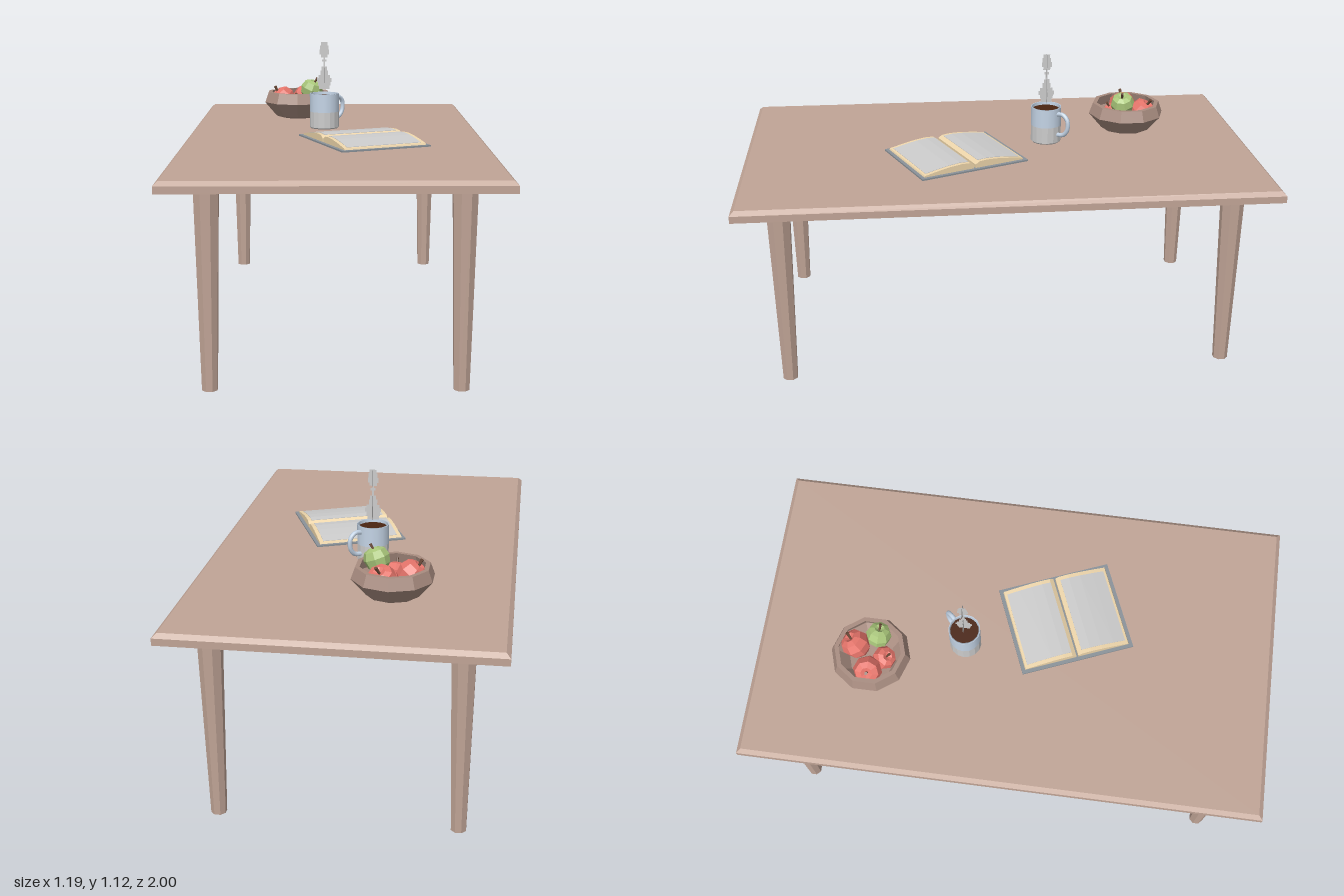
import * as THREE from 'three';

const V2 = (x, y) => new THREE.Vector2(x, y);
const TOP = 0.763; // table surface height

function mat(color, flat = true) {
  return new THREE.MeshStandardMaterial({ color, flatShading: flat, side: THREE.DoubleSide });
}

const WOOD = mat(0xc0a496), BOWL = mat(0xa88c80), RED = mat(0xe5746a), GREEN = mat(0xa9c67a);
const STEM = mat(0x6b4a38), BLUE = mat(0xc4d4e6, false), GREY = mat(0xcccccc), COFFEE = mat(0x4a2411);
const COVER = mat(0x8a9299), CREAM = mat(0xeed6ab);

function add(parent, name, geometry, material, x = 0, y = 0, z = 0) {
  const mesh = new THREE.Mesh(geometry, material);
  mesh.name = name;
  mesh.position.set(x, y, z);
  parent.add(mesh);
  return mesh;
}

const lathe = (pts, sides) => new THREE.LatheGeometry(pts.map(p => V2(p[0], p[1])), sides);

function makeTable() {
  const table = new THREE.Group();
  table.name = 'table';
  add(table, 'tabletop', new THREE.BoxGeometry(1.186, 0.026, 2), WOOD, 0, 0.735, 0);
  // bevelled upper edge: pull the top corners inwards
  const bevel = new THREE.BoxGeometry(1.186, 0.015, 2);
  const p = bevel.attributes.position;
  for (let i = 0; i < p.count; i++) {
    if (p.getY(i) > 0) {
      p.setX(i, p.getX(i) - Math.sign(p.getX(i)) * 0.016);
      p.setZ(i, p.getZ(i) - Math.sign(p.getZ(i)) * 0.016);
    }
  }
  add(table, 'bevelledEdge', bevel, WOOD, 0, 0.7555, 0);
  const leg = new THREE.CylinderGeometry(0.046, 0.029, 0.724, 8);
  leg.rotateY(Math.PI / 8);
  for (const x of [-0.436, 0.436]) for (const z of [-0.845, 0.845]) add(table, 'leg', leg, WOOD, x, 0.362, z);
  return table;
}

function makeApple(material, r, x, y, z, tiltX, tiltZ) {
  const apple = new THREE.Group();
  apple.name = 'apple';
  const body = [[0, -0.75], [0.45, -0.9], [0.85, -0.45], [1, 0.15], [0.8, 0.7], [0.4, 0.88], [0, 0.65]];
  add(apple, 'fruitBody', lathe(body.map(q => [q[0] * r, q[1] * r]), 8), material);
  const stem = add(apple, 'stem', new THREE.CylinderGeometry(r * 0.12, r * 0.08, r * 0.6, 5), STEM, r * 0.06, r * 0.95, 0);
  stem.rotation.z = -0.2;
  apple.position.set(x, y, z);
  apple.rotation.set(tiltX, 0, tiltZ);
  return apple;
}

function makeFruitBowl() {
  const group = new THREE.Group();
  group.name = 'fruitBowl';
  // outer wall, rim, then inner wall
  const profile = [[0, 0], [0.075, 0], [0.1, 0.008], [0.153, 0.07], [0.137, 0.114],
    [0.12, 0.114], [0.132, 0.072], [0.088, 0.024], [0, 0.018]];
  add(group, 'bowl', lathe(profile, 10), BOWL);
  group.add(
    makeApple(RED, 0.056, -0.066, 0.078, 0, 0.1, 0.65),
    makeApple(RED, 0.056, 0.03, 0.076, -0.062, -0.5, -0.2),
    makeApple(RED, 0.046, -0.006, 0.062, 0.05, 0.5, 0.1),
    makeApple(GREEN, 0.049, 0.06, 0.122, 0.025, 0.15, -0.35));
  group.position.set(-0.16, TOP, -0.545);
  return group;
}

function makeMug() {
  const mug = new THREE.Group();
  mug.name = 'mug';
  const R = 0.061, sides = 16;
  add(mug, 'mugBase', lathe([[0, 0], [R - 0.004, 0], [R, 0.005], [R, 0.07]], sides), GREY);
  add(mug, 'mugWall', new THREE.CylinderGeometry(R, R, 0.075, sides, 1, true), BLUE, 0, 0.1075, 0);
  add(mug, 'mugRim', lathe([[R, 0.145], [R - 0.006, 0.145], [R - 0.006, 0.06]], sides), BLUE);
  add(mug, 'coffee', new THREE.CylinderGeometry(R - 0.006, R - 0.006, 0.004, sides), COFFEE, 0, 0.131, 0);
  // handle loop, pointing right and back
  const path = new THREE.CatmullRomCurve3([[0.055, 0.122], [0.085, 0.125], [0.107, 0.105], [0.107, 0.066],
    [0.088, 0.042], [0.055, 0.036]].map(q => new THREE.Vector3(q[0], q[1], 0)));
  add(mug, 'handle', new THREE.TubeGeometry(path, 14, 0.009, 8), BLUE).rotation.y = Math.PI / 4;

  // stepped wisp of steam: [half width, bottom, top], on two crossed sheets
  const steps = [[0.022, 0.925, 0.94], [0.026, 0.94, 0.955], [0.031, 0.955, 0.972], [0.025, 0.972, 0.984],
    [0.016, 0.984, 1.004], [0.011, 1.004, 1.02], [0.004, 1.02, 1.04], [0.009, 1.04, 1.05], [0.003, 1.05, 1.058],
    [0.014, 1.058, 1.07], [0.02, 1.07, 1.09], [0.017, 1.09, 1.107], [0.013, 1.107, 1.121]];
  const outline = [];
  for (const [w, a, b] of steps) outline.push(V2(w, a - TOP), V2(w, b - TOP));
  for (const [w, a, b] of steps.slice().reverse()) outline.push(V2(-w, b - TOP), V2(-w, a - TOP));
  const sheet = new THREE.ShapeGeometry(new THREE.Shape(outline));
  for (const turn of [0, Math.PI / 2]) add(mug, 'steam', sheet, GREY).rotation.y = turn;

  mug.position.set(-0.042, TOP, -0.197);
  return mug;
}

// extrude a (v, height) profile along the spine direction
function alongSpine(points, length) {
  const g = new THREE.ExtrudeGeometry(new THREE.Shape(points), { depth: length, bevelEnabled: false });
  g.translate(0, 0, -length / 2);
  return g.rotateY(-Math.PI / 2);
}

function makeBook() {
  const book = new THREE.Group();
  book.name = 'openBook';
  add(book, 'cover', new THREE.BoxGeometry(0.364, 0.006, 0.447), COVER, 0, 0.005, 0);
  const arch = [[0.004, 0.022], [0.02, 0.032], [0.055, 0.034], [0.1, 0.031], [0.15, 0.024], [0.207, 0.014]];
  const block = [V2(0.004, 0.007), ...arch.map(a => V2(a[0], a[1])), V2(0.21, 0.007)];
  const leaf = arch.slice(1).map(a => [Math.min(a[0], 0.198), a[1] + (a[0] > 0.2 ? 0.0015 : 0)]);
  const page = [...leaf.map(a => V2(a[0], a[1] + 0.0015)), ...leaf.reverse().map(a => V2(a[0], a[1] - 0.001))];
  for (const turn of [0, Math.PI]) {
    const half = new THREE.Group();
    half.name = 'bookHalf';
    add(half, 'pageBlock', alongSpine(block, 0.336), CREAM);
    add(half, 'openPage', alongSpine(page, 0.305), GREY);
    half.rotation.y = turn;
    book.add(half);
  }
  book.position.set(0.11, TOP, 0.178);
  book.rotation.y = 0.39;
  return book;
}

export function createModel() {
  const model = new THREE.Group();
  model.name = 'tableWithBreakfastThings';
  model.add(makeTable(), makeFruitBowl(), makeMug(), makeBook());
  return model;
}
